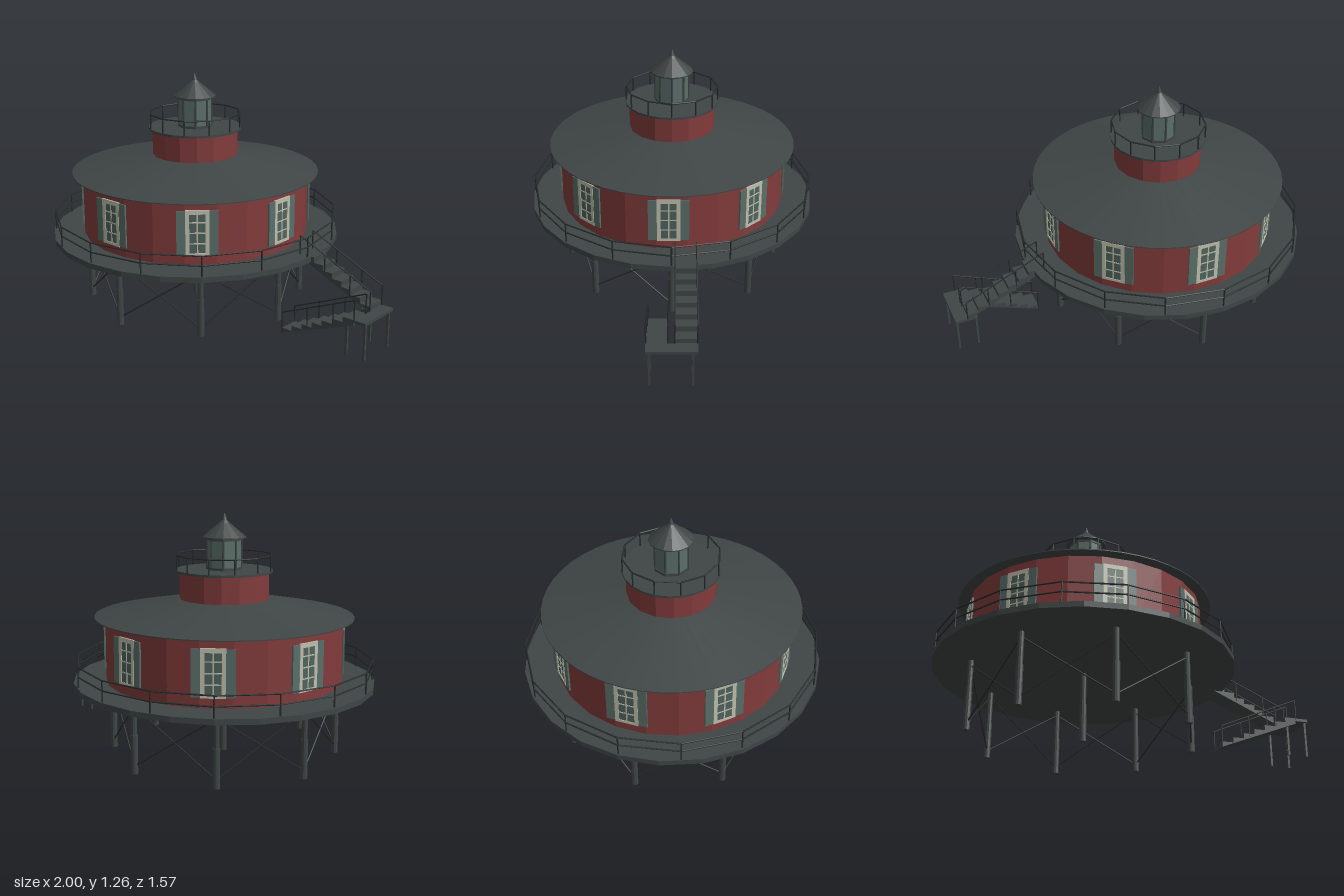
import * as THREE from 'three';

const mat = (name, color) => Object.assign(new THREE.MeshStandardMaterial({ color }), { name });

export function createModel() {
  const red = mat('red wall', 0x823b3b);
  const slate = mat('slate grey', 0x3f4645);
  const iron = mat('dark iron', 0x272c2c);
  const teal = mat('shutter teal', 0x5a6f69);
  const cream = mat('cream trim', 0xbfc0ae);
  const glass = mat('window glass', 0x50635d);
  for (const m of [red, slate]) m.flatShading = true;

  const model = new THREE.Group();
  model.name = 'lighthouse';
  const tower = new THREE.Group();
  tower.name = 'tower';
  tower.position.x = -0.215;
  model.add(tower);

  const add = (parent, name, geo, material, x = 0, y = 0, z = 0) => {
    const m = new THREE.Mesh(geo, material);
    m.name = name;
    m.position.set(x, y, z);
    parent.add(m);
    return m;
  };
  const group = (parent, name) => {
    const g = new THREE.Group();
    g.name = name;
    parent.add(g);
    return g;
  };
  const box = (parent, name, w, h, d, material, x, y, z) =>
    add(parent, name, new THREE.BoxGeometry(w, h, d), material, x, y, z);
  // upright drum between two heights
  const drum = (parent, name, r, y0, y1, sides, material, turn = 0) =>
    add(parent, name, new THREE.CylinderGeometry(r, r, y1 - y0, sides, 1, false, turn), material, 0, (y0 + y1) / 2, 0);
  // thin rod between two points
  const rod = (parent, name, a, b, r, material = iron) => {
    const d = b.clone().sub(a);
    const m = add(parent, name, new THREE.CylinderGeometry(r, r, d.length(), 6), material);
    m.position.copy(a).add(b).multiplyScalar(0.5);
    m.quaternion.setFromUnitVectors(new THREE.Vector3(0, 1, 0), d.normalize());
    return m;
  };
  const V = (x, y, z) => new THREE.Vector3(x, y, z);
  const polar = (r, y, a) => V(r * Math.sin(a), y, r * Math.cos(a));
  const lathe = (pts, n) => new THREE.LatheGeometry(pts.map(p => new THREE.Vector2(...p)), n);

  // ring of posts with straight rails between them
  const railing = (name, n, r, y0, y1, heights) => {
    const g = group(tower, name);
    for (let i = 0; i < n; i++) {
      const a = i / n * Math.PI * 2, b = (i + 1) / n * Math.PI * 2;
      rod(g, 'post', polar(r, y0, a), polar(r, y1, a), 0.004);
      for (const y of heights) rod(g, 'rail', polar(r, y, a), polar(r, y, b), 0.004);
    }
  };

  // legs and cross bracing
  const legs = group(tower, 'legs');
  const leg = p => {
    add(legs, 'leg', new THREE.CylinderGeometry(0.015, 0.015, 0.37, 10), slate, p.x, 0.185, p.z);
    add(legs, 'legSleeve', new THREE.CylinderGeometry(0.018, 0.018, 0.2, 10), slate, p.x, 0.1, p.z);
  };
  leg(V(0, 0, 0));
  for (let i = 0; i < 8; i++) {
    const a = i * Math.PI / 4, b = a + Math.PI / 4;
    leg(polar(0.59, 0, a));
    rod(legs, 'brace', polar(0.59, 0.04, a), polar(0.59, 0.345, b), 0.004);
    rod(legs, 'brace', polar(0.59, 0.345, a), polar(0.59, 0.04, b), 0.004);
  }

  // deck, house and roof
  drum(tower, 'deck', 0.787, 0.372, 0.4, 24, slate);
  railing('deckRailing', 16, 0.775, 0.4, 0.508, [0.505, 0.455]);
  drum(tower, 'houseWall', 0.617, 0.4, 0.74, 24, red, Math.PI / 24);
  add(tower, 'mainRoof', lathe([[0, 0.726], [0.673, 0.73], [0.673, 0.735], [0.232, 0.822], [0, 0.822]], 48), slate);

  // eight shuttered windows
  for (let i = 0; i < 8; i++) {
    const w = group(tower, 'window');
    const a = i * Math.PI / 4;
    w.position.copy(polar(0.613, 0.568, a));
    w.rotation.y = a;
    const s = group(w, 'windowParts');
    s.position.x = -0.015;
    for (const side of [-1, 1]) {
      box(s, 'shutter', 0.046, 0.23, 0.009, teal, side * 0.082, 0, 0.002);
      box(s, 'frameSide', 0.02, 0.235, 0.009, cream, side * 0.05, 0, 0.004);
    }
    box(s, 'glass', 0.1, 0.23, 0.006, glass, 0, 0, 0.002);
    box(s, 'frameTop', 0.12, 0.022, 0.009, cream, 0, 0.108, 0.004);
    box(s, 'frameBottom', 0.12, 0.014, 0.009, cream, 0, -0.112, 0.004);
    box(s, 'mullion', 0.007, 0.22, 0.006, cream, 0, 0, 0.004);
    for (const y of [-0.055, 0, 0.055]) box(s, 'glazingBar', 0.09, 0.006, 0.006, cream, 0, y, 0.004);
  }

  // upper drum and gallery
  drum(tower, 'upperDrum', 0.232, 0.81, 0.962, 16, red);
  drum(tower, 'gallery', 0.252, 0.96, 0.972, 24, slate);
  railing('galleryRailing', 12, 0.248, 0.97, 1.05, [1.048]);

  // lantern room
  const lantern = group(tower, 'lantern');
  const pane = drum(lantern, 'lanternGlass', 0.088, 0.975, 1.13, 8, teal);
  pane.geometry = pane.geometry.toNonIndexed();
  pane.geometry.computeVertexNormals();
  drum(lantern, 'lanternSill', 0.093, 0.97, 0.985, 8, slate);
  drum(lantern, 'lanternHead', 0.093, 1.122, 1.14, 8, slate);
  for (let i = 0; i < 8; i++) {
    const a = i * Math.PI / 4;
    rod(lantern, 'lanternPost', polar(0.088, 0.975, a), polar(0.088, 1.13, a), 0.006, slate);
  }
  add(lantern, 'lanternRoof',
    lathe([[0, 1.134], [0.113, 1.134], [0.113, 1.14], [0.026, 1.212], [0.014, 1.225], [0, 1.264]], 16), slate);

  // stairs: a stepped slab rising from x0,y0 to x1,y1 in n treads
  const stairs = group(model, 'stairs');
  const flight = (name, x0, y0, x1, y1, n, z, width) => {
    const pts = [];
    const dx = (x1 - x0) / n, dy = (y1 - y0) / n, up = dy > 0;
    for (let i = 0; i < n; i++) {
      const y = y0 + dy * (up ? i + 1 : i);
      pts.push(new THREE.Vector2(x0 + dx * i, y), new THREE.Vector2(x0 + dx * (i + 1), y));
    }
    pts.push(new THREE.Vector2(x1, up ? y1 - 0.03 : y1 - 0.005), new THREE.Vector2(x0, up ? y0 : y0 - 0.03));
    const geo = new THREE.ExtrudeGeometry(new THREE.Shape(pts), { depth: width, bevelEnabled: false });
    add(stairs, name, geo, slate, 0, 0, z);
  };
  flight('upperFlight', 0.53, 0.4, 0.93, 0.2, 7, -0.128, 0.108);
  flight('lowerFlight', 0.5, 0.005, 0.93, 0.205, 7, 0.015, 0.108);

  // landing on four legs
  box(stairs, 'landing', 0.065, 0.015, 0.251, slate, 0.967, 0.197, -0.0025);
  for (const z of [-0.074, 0.069]) box(stairs, 'landingEdge', 0.06, 0.015, 0.108, slate, 0.91, 0.197, z);
  for (const x of [0.885, 0.988])
    for (const z of [-0.105, 0.105]) box(stairs, 'landingLeg', 0.011, 0.192, 0.011, slate, x, 0.096, z);

  // handrails with posts on both sides of each flight
  const handrail = (z, y0, y1, foot0, foot1) => {
    const at = (t, a, b) => V(0.5 + 0.433 * t, a + (b - a) * t, z);
    rod(stairs, 'handrail', at(0, y0, y1), at(1, y0, y1), 0.0035);
    for (const t of [0, 0.36, 0.72, 1])
      rod(stairs, 'handrailPost', at(t, foot0, foot1), at(t, y0, y1), 0.0035);
  };
  for (const z of [-0.126, -0.018]) handrail(z, 0.5, 0.308, 0.395, 0.2);
  for (const z of [0.017, 0.121]) handrail(z, 0.12, 0.308, 0.005, 0.2);

  return model;
}
